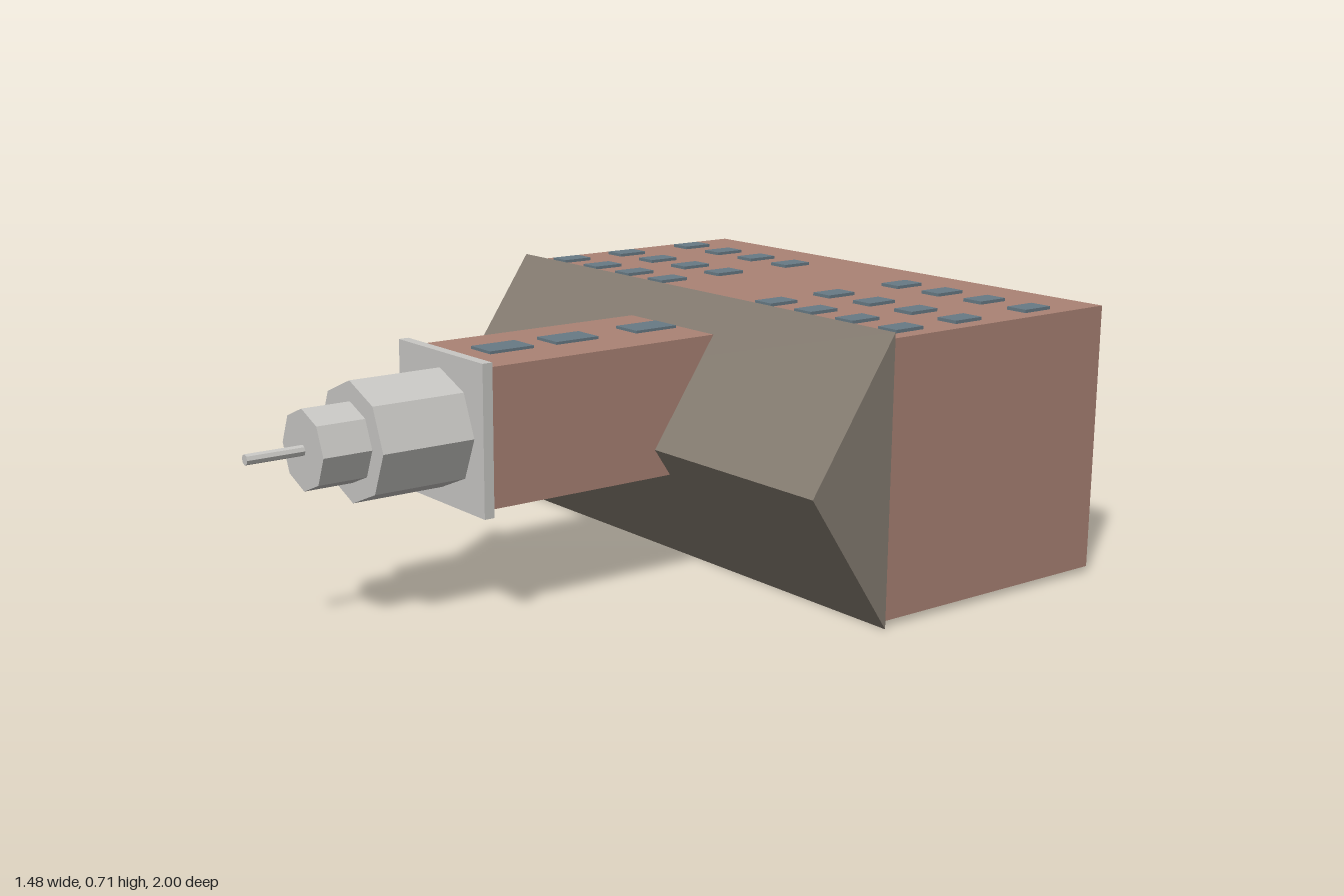
import * as THREE from 'three';

const mat = (name, color) => {
  const m = new THREE.MeshStandardMaterial({ color });
  m.name = name;
  return m;
};

export function createModel() {
  const model = new THREE.Group();
  model.name = 'towerBuilding';
  const brick = mat('brick', 0xab8375);
  const slate = mat('roofSlate', 0x857c71);
  const metal = mat('paleStone', 0xc8c7c4);
  const glass = mat('windowGlass', 0x687a85);

  const add = (name, geometry, material, x, y, z, parent = model) => {
    const mesh = new THREE.Mesh(geometry, material);
    mesh.name = name;
    mesh.position.set(x, y, z);
    parent.add(mesh);
    return mesh;
  };
  // Box given by width, height and its z range, centred on x = 0
  const block = (name, material, w, h, y, z0, z1) =>
    add(name, new THREE.BoxGeometry(w, h, z1 - z0), material, 0, y, (z0 + z1) / 2);

  // Main hall, lying on its back wall
  block('hall', brick, 1.46, 0.68, 0.355, -1, -0.265);

  // Gabled roof: triangular section extruded across the width
  const section = new THREE.Shape([
    new THREE.Vector2(0.27, 0),
    new THREE.Vector2(0.27, 0.712),
    new THREE.Vector2(0.028, 0.356),
  ]);
  const roof = new THREE.ExtrudeGeometry(section, { depth: 1.484, bevelEnabled: false });
  roof.translate(0, 0, -0.742).rotateY(Math.PI / 2); // section x becomes -z
  add('roof', roof, slate, 0, 0, 0);

  // Tower and cornice
  const axisY = 0.455;
  block('tower', brick, 0.334, 0.34, axisY, -0.265, 0.465);
  block('cornice', metal, 0.37, 0.37, axisY, 0.46, 0.487);

  // Octagonal belfry tiers and spire, corners on the axes
  const tiers = [
    ['lowerBelfry', 0.146, 0.487, 0.73],
    ['upperBelfry', 0.097, 0.73, 0.855],
    ['spire', 0.013, 0.855, 1],
  ];
  for (const [name, r, z0, z1] of tiers) {
    const g = new THREE.CylinderGeometry(r, r, z1 - z0, 8).toNonIndexed();
    g.computeVertexNormals();
    g.rotateX(Math.PI / 2);
    add(name, g, metal, 0, axisY, (z0 + z1) / 2);
  }

  // Hall windows: two mirrored blocks of four columns by three rows
  const windows = new THREE.Group();
  windows.name = 'windows';
  model.add(windows);
  const hallPane = new THREE.BoxGeometry(0.06, 0.009, 0.088);
  for (const side of [-1, 1])
    for (const x of [0.22, 0.366, 0.512, 0.658])
      for (const z of [-0.81, -0.567, -0.37])
        add('hallWindow', hallPane, glass, side * x, 0.6985, z, windows);

  // Tower windows in a single column
  const towerPane = new THREE.BoxGeometry(0.084, 0.009, 0.126);
  for (const z of [-0.128, 0.116, 0.309])
    add('towerWindow', towerPane, glass, 0, 0.6275, z, windows);

  return model;
}
